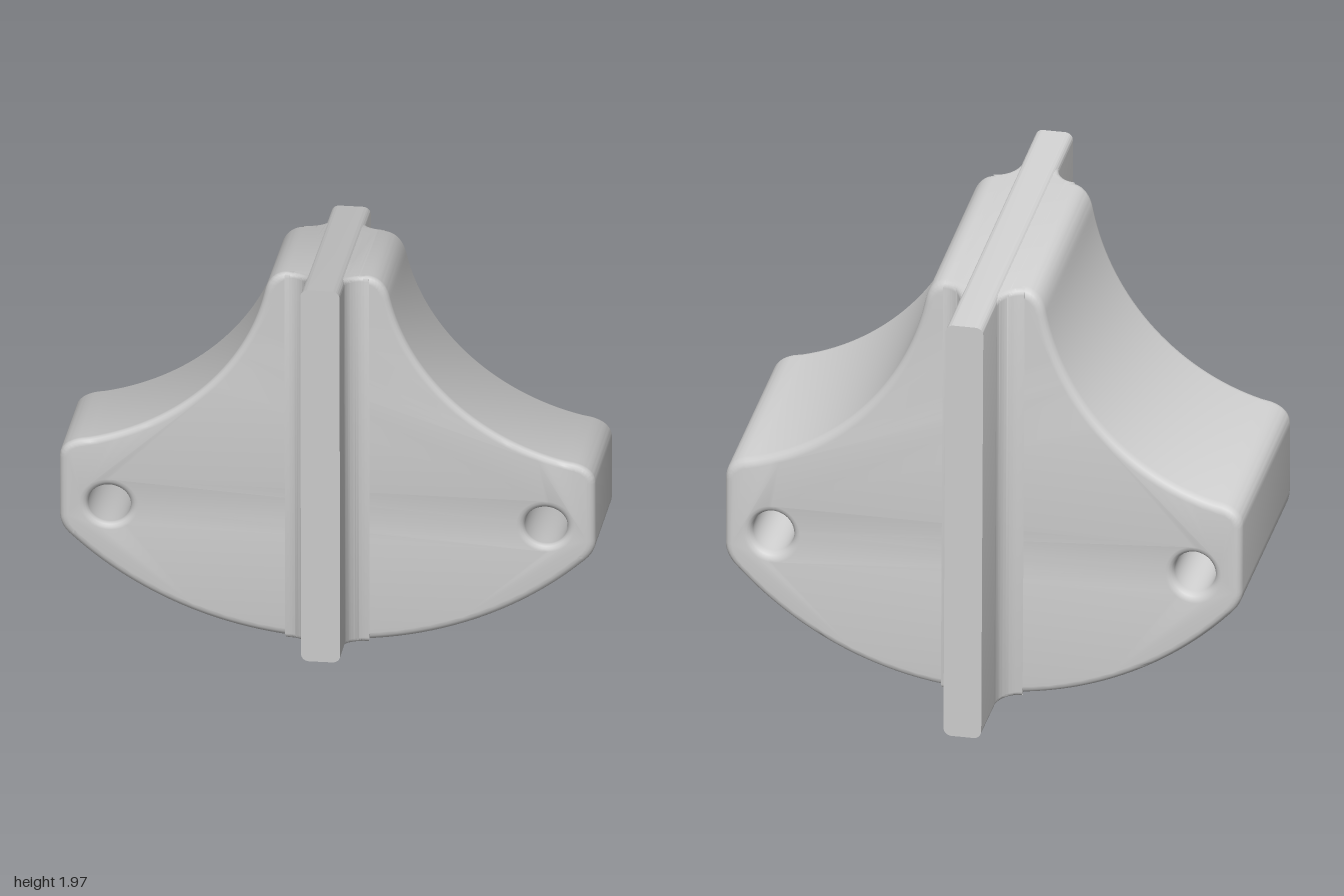
import * as THREE from 'three';
import { toCreasedNormals } from 'three/addons/utils/BufferGeometryUtils.js';

const HEIGHT = 1.62;

// Lean the upright geometry: it rises toward the front and tips slightly forward
function lean(geometry) {
  const p = geometry.attributes.position;
  for (let i = 0; i < p.count; i++) {
    const v = p.getY(i), w = p.getZ(i);
    p.setY(i, v + 0.17 + w * (0.28 + 0.0125 * v));
    p.setZ(i, w + 0.018 * (v - HEIGHT / 2));
  }
  return toCreasedNormals(geometry, 0.6);
}

// Extrude to a full length, centred on z, with rounded edges kept inside the outline
function extrude(shape, length, bevel) {
  const g = new THREE.ExtrudeGeometry(shape, {
    depth: length - 2 * bevel, curveSegments: 24, bevelEnabled: bevel > 0,
    bevelThickness: bevel, bevelSize: bevel, bevelOffset: -bevel, bevelSegments: 4,
  });
  return g.translate(0, 0, bevel - length / 2);
}

function roundedRect(halfW, y0, y1, r) {
  const s = new THREE.Shape();
  s.absarc(halfW - r, y0 + r, r, -Math.PI / 2, 0);
  s.absarc(halfW - r, y1 - r, r, 0, Math.PI / 2);
  s.absarc(-halfW + r, y1 - r, r, Math.PI / 2, Math.PI);
  s.absarc(-halfW + r, y0 + r, r, Math.PI, Math.PI * 1.5);
  return s;
}

// Half outline from bottom centre to top centre, mirrored, with two holes
function bodyShape() {
  const half = new THREE.Path();
  half.absarc(0, 1.36, 1.35, -Math.PI / 2, -Math.PI / 2 + 0.7807, false);
  half.quadraticCurveTo(1, 0.445, 1, 0.5);
  half.lineTo(1, 0.75);
  half.quadraticCurveTo(1, 0.815, 0.92, 0.835);
  half.absarc(1.1, 1.7, 0.885, 4.507, 3.352, true);
  half.quadraticCurveTo(0.215, 1.61, 0.14, 1.61);
  half.lineTo(0, 1.61);
  const right = half.getPoints(16).filter((p, i, a) => i === 0 || p.distanceTo(a[i - 1]) > 0.004);
  const left = right.slice(1, -1).reverse().map((p) => new THREE.Vector2(-p.x, p.y));
  const shape = new THREE.Shape([...right, ...left]);
  for (const side of [-1, 1]) {
    shape.holes.push(new THREE.Path().absarc(side * 0.815, 0.555, 0.08, 0, Math.PI * 2, true));
  }
  return shape;
}

// Plan section whose concave corners blend the fin into the body
function filletShape() {
  const x = 0.073, r = 0.085, w = 0.34;
  const s = new THREE.Shape();
  s.moveTo(x + r, -w);
  s.lineTo(x + r, w);
  s.absarc(x + r, w + r, r, -Math.PI / 2, -Math.PI, true);
  s.lineTo(-x, w + r);
  s.absarc(-x - r, w + r, r, 0, -Math.PI / 2, true);
  s.lineTo(-x - r, -w);
  s.absarc(-x - r, -w - r, r, Math.PI / 2, 0, true);
  s.lineTo(x, -w - r);
  s.absarc(x + r, -w - r, r, Math.PI, Math.PI / 2, true);
  return s;
}

export function createModel() {
  const group = new THREE.Group();
  const material = new THREE.MeshStandardMaterial({ color: 0xcccccc });
  const add = (name, geometry) => {
    const mesh = new THREE.Mesh(lean(geometry), material);
    mesh.name = name;
    group.add(mesh);
  };

  add('body', extrude(bodyShape(), 0.68, 0.03));
  add('centreFin', extrude(roundedRect(0.073, 0, HEIGHT, 0.03), 1.2, 0));

  const fillet = extrude(filletShape(), HEIGHT - 0.02, 0.02);
  fillet.rotateX(-Math.PI / 2).translate(0, HEIGHT / 2, 0);
  add('finFillets', fillet);

  return group;
}
